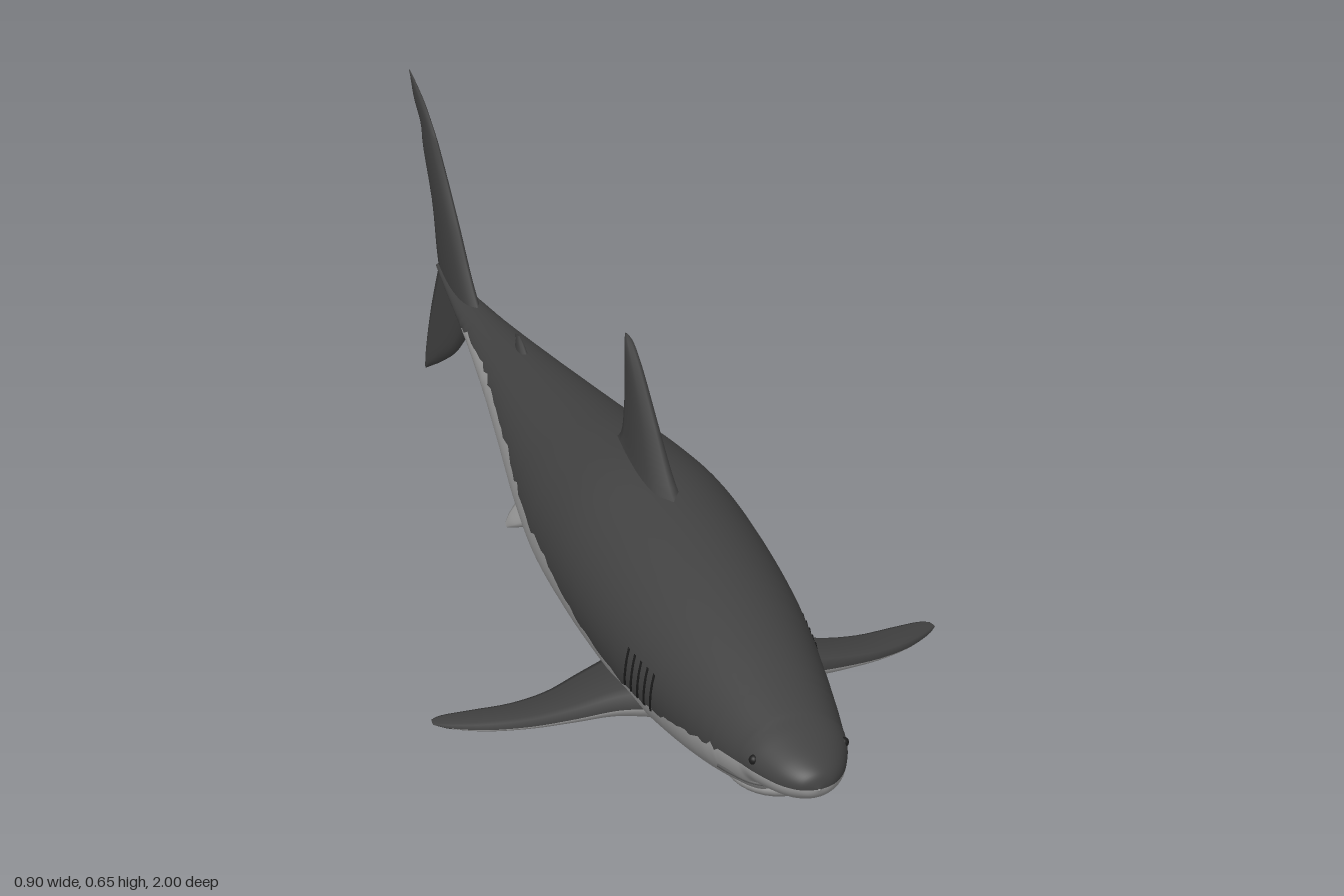
import * as THREE from 'three';

const mat = (name, color) => {
  const m = new THREE.MeshStandardMaterial({ color, side: THREE.DoubleSide });
  m.name = name;
  return m;
};

// Seeded noise for the ragged line between back and belly
let seed = 7;
const rand = () => ((seed = (seed * 16807) % 2147483647) / 2147483647) - 0.5;

// Smoothly resample a table of rows, column by column
function resample(rows, steps) {
  const out = [], last = rows.length - 1;
  for (let s = 0; s <= steps; s++) {
    const f = (s / steps) * last, i = Math.min(Math.floor(f), last - 1), t = f - i;
    const at = (k) => rows[Math.max(0, Math.min(last, k))];
    out.push(rows[0].map((_, c) => {
      const [a, b, d, e] = [at(i - 1)[c], at(i)[c], at(i + 1)[c], at(i + 2)[c]];
      const m0 = (d - a) / 2, m1 = (e - b) / 2;
      return b + m0 * t + (3 * (d - b) - 2 * m0 - m1) * t * t + (2 * (b - d) + m0 + m1) * t * t * t;
    }));
  }
  return out;
}

// Skin closed rings; pick(ring, segment) gives the material index of each face
function skin(rings, pick) {
  const n = rings[0].length, pos = rings.flat(2), faces = [[], []];
  for (let r = 0; r < rings.length - 1; r++) {
    for (let k = 0; k < n; k++) {
      const a = r * n + k, b = r * n + ((k + 1) % n);
      faces[pick(r, k)].push(a, b, a + n, b, b + n, a + n);
    }
  }
  const g = new THREE.BufferGeometry();
  g.setAttribute('position', new THREE.Float32BufferAttribute(pos, 3));
  g.setIndex([...faces[0], ...faces[1]]);
  g.addGroup(0, faces[0].length, 0);
  g.addGroup(faces[0].length, faces[1].length, 1);
  g.computeVertexNormals();
  return g;
}

// Body stations: z, top y, bottom y, half width, y of the colour line
const BODY = resample([
  [1.0, 0.302, 0.298, 0.002, 0.3],
  [0.99, 0.325, 0.28, 0.032, 0.3],
  [0.96, 0.342, 0.262, 0.06, 0.3],
  [0.91, 0.358, 0.247, 0.084, 0.3],
  [0.875, 0.367, 0.236, 0.094, 0.298],
  [0.85, 0.374, 0.212, 0.1, 0.295],
  [0.78, 0.39, 0.185, 0.115, 0.285],
  [0.68, 0.411, 0.155, 0.133, 0.26],
  [0.57, 0.429, 0.132, 0.15, 0.235],
  [0.45, 0.442, 0.114, 0.163, 0.222],
  [0.3, 0.45, 0.106, 0.169, 0.23],
  [0.15, 0.447, 0.104, 0.167, 0.262],
  [0.0, 0.416, 0.11, 0.155, 0.272],
  [-0.15, 0.378, 0.133, 0.13, 0.28],
  [-0.3, 0.343, 0.167, 0.1, 0.282],
  [-0.45, 0.311, 0.193, 0.07, 0.274],
  [-0.6, 0.28, 0.214, 0.043, 0.256],
  [-0.7, 0.262, 0.225, 0.028, 0.23],
  [-0.78, 0.251, 0.23, 0.016, 0.2],
  [-0.86, 0.243, 0.237, 0.004, 0.2],
], 133);

// Point on the flank at a given z and y
function flank(z, y, side, out = 0) {
  let i = BODY.findIndex((r) => r[0] <= z);
  i = Math.max(1, i);
  const a = BODY[i - 1], b = BODY[i], t = (a[0] - z) / (a[0] - b[0]);
  const [, top, bot, w] = a.map((v, c) => v + (b[c] - v) * t);
  const s = (y - (top + bot) / 2) / ((top - bot) / 2);
  return new THREE.Vector3(side * (w * Math.sqrt(Math.max(0, 1 - s * s)) + out), y, z);
}

function bodyGeometry() {
  const N = 26;
  const rings = BODY.map(([z, top, bot, w, line]) => {
    const mid = (top + bot) / 2, h = (top - bot) / 2;
    const jag = z < 0.8 ? rand() * 0.014 : 0;
    const s = Math.max(-0.99, Math.min(0.9, (line + jag - mid) / h));
    const start = Math.asin(s), ring = [];
    for (let k = 0; k < 2 * N; k++) {
      const a = k < N ? start + (k / N) * (Math.PI - 2 * start)
        : Math.PI - start + ((k - N) / N) * (Math.PI + 2 * start);
      ring.push([w * Math.cos(a), mid + h * Math.sin(a), z]);
    }
    return ring;
  });
  return skin(rings, (r, k) => (k < N ? 0 : 1));
}

// Fin stations: leading edge xyz, trailing edge xyz, half thickness along axis
function finGeometry(stations, axis, pick = () => 0) {
  const M = 10;
  const rings = resample(stations, 24).map((s) => {
    const ring = [];
    for (let k = 0; k < 2 * M; k++) {
      const upper = k < M, c = upper ? k / M : 2 - k / M;
      const bulge = s[6] * 2.6 * Math.sqrt(c) * (1 - c) * (upper ? 1 : -1);
      const p = [0, 1, 2].map((j) => s[j] + (s[j + 3] - s[j]) * c);
      p[axis] += bulge;
      ring.push(p);
    }
    return ring;
  });
  return skin(rings, (r, k) => pick(r, k < M));
}

export function createModel() {
  const model = new THREE.Group();
  const back = mat('dark grey back', 0x424242);
  const belly = mat('pale grey belly', 0x9c9c9c);
  const black = mat('near black', 0x1c1c1c);
  const crease = mat('mouth grey', 0x5c5c5c);
  const add = (name, geometry, material) => {
    const m = new THREE.Mesh(geometry, material);
    m.name = name;
    model.add(m);
    return m;
  };
  const tube = (points, r) =>
    new THREE.TubeGeometry(new THREE.CatmullRomCurve3(points), 32, r, 6);
  // Upright fin in the middle plane: rows of z, y front, z, y back, thickness
  const upright = (rows) =>
    finGeometry(rows.map(([z, y, z2, y2, t]) => [0, y, z, 0, y2, z2, t]), 0);

  add('body', bodyGeometry(), [back, belly]);

  // Lower jaw and mouth line
  const jaw = add('lowerJaw', new THREE.SphereGeometry(1, 32, 20), belly);
  jaw.scale.set(0.085, 0.035, 0.1);
  jaw.position.set(0, 0.226, 0.778);
  const half = [[0.79, 0.247], [0.83, 0.254], [0.87, 0.252]];
  add('mouth', tube([
    ...half.map(([z, y]) => flank(z, y, 1)),
    new THREE.Vector3(0, 0.243, 0.887),
    ...half.reverse().map(([z, y]) => flank(z, y, -1)),
  ], 0.004), crease);

  // Fins in the middle plane
  add('dorsalFin', upright([
    [0.34, 0.42, -0.03, 0.39, 0.034], [0.27, 0.465, 0.03, 0.435, 0.024],
    [0.2, 0.54, 0.047, 0.5, 0.016], [0.13, 0.61, 0.05, 0.58, 0.011],
    [0.085, 0.643, 0.05, 0.625, 0.007], [0.062, 0.65, 0.052, 0.646, 0.001],
  ]), back);
  add('upperTailFin', upright([
    [-0.64, 0.245, -0.855, 0.235, 0.013], [-0.7, 0.295, -0.868, 0.27, 0.012],
    [-0.77, 0.375, -0.89, 0.35, 0.01], [-0.85, 0.462, -0.933, 0.43, 0.007],
    [-0.885, 0.493, -0.945, 0.47, 0.005], [-0.93, 0.521, -0.977, 0.5, 0.004],
    [-0.975, 0.538, -0.992, 0.525, 0.002], [-1.0, 0.545, -0.998, 0.54, 0.001],
  ]), back);
  add('lowerTailFin', upright([
    [-0.66, 0.238, -0.855, 0.245, 0.013], [-0.71, 0.19, -0.872, 0.2, 0.012],
    [-0.77, 0.12, -0.893, 0.14, 0.01], [-0.84, 0.06, -0.91, 0.08, 0.008],
    [-0.89, 0.022, -0.921, 0.03, 0.005], [-0.918, 0.001, -0.923, 0.004, 0.001],
  ]), back);
  add('secondDorsalFin', upright([
    [-0.42, 0.305, -0.49, 0.292, 0.008], [-0.447, 0.325, -0.482, 0.312, 0.005],
    [-0.465, 0.333, -0.482, 0.328, 0.001],
  ]), back);
  add('analFin', upright([
    [-0.46, 0.205, -0.52, 0.212, 0.007], [-0.49, 0.188, -0.523, 0.193, 0.005],
    [-0.515, 0.175, -0.526, 0.178, 0.001],
  ]), belly);

  for (const s of [1, -1]) {
    const label = s > 0 ? 'left' : 'right';
    // Pectoral fin: dark above, pale below with a dark tip
    add(label + 'PectoralFin', finGeometry([
      [s * 0.11, 0.205, 0.53, s * 0.11, 0.165, 0.28, 0.036],
      [s * 0.17, 0.193, 0.492, s * 0.18, 0.157, 0.305, 0.025],
      [s * 0.24, 0.178, 0.47, s * 0.245, 0.151, 0.33, 0.017],
      [s * 0.31, 0.164, 0.446, s * 0.31, 0.145, 0.335, 0.012],
      [s * 0.375, 0.15, 0.41, s * 0.375, 0.14, 0.325, 0.009],
      [s * 0.425, 0.139, 0.368, s * 0.425, 0.135, 0.316, 0.005],
      [s * 0.449, 0.135, 0.34, s * 0.446, 0.134, 0.322, 0.001],
    ], 1, (r, upper) => (upper || r > 19 ? 0 : 1)), [back, belly]);

    add(label + 'PelvicFin', finGeometry([
      [s * 0.055, 0.18, -0.13, s * 0.055, 0.185, -0.25, 0.014],
      [s * 0.073, 0.143, -0.18, s * 0.073, 0.15, -0.262, 0.009],
      [s * 0.087, 0.112, -0.228, s * 0.087, 0.118, -0.272, 0.006],
      [s * 0.095, 0.093, -0.262, s * 0.095, 0.096, -0.274, 0.001],
    ], 0), belly);

    // Five gill slits
    for (let i = 0; i < 5; i++) {
      const z = 0.587 - i * 0.023, pts = [];
      for (let k = 0; k <= 4; k++) {
        const t = k / 4;
        pts.push(flank(z - t * 0.022 + 0.006 * Math.sin(t * Math.PI), 0.316 - t * 0.085, s));
      }
      add(label + 'GillSlit' + (i + 1), tube(pts, 0.0025), black);
    }

    const eye = add(label + 'Eye', new THREE.SphereGeometry(0.009, 16, 12), black);
    eye.position.copy(flank(0.9, 0.318, s, -0.004));
  }
  return model;
}
